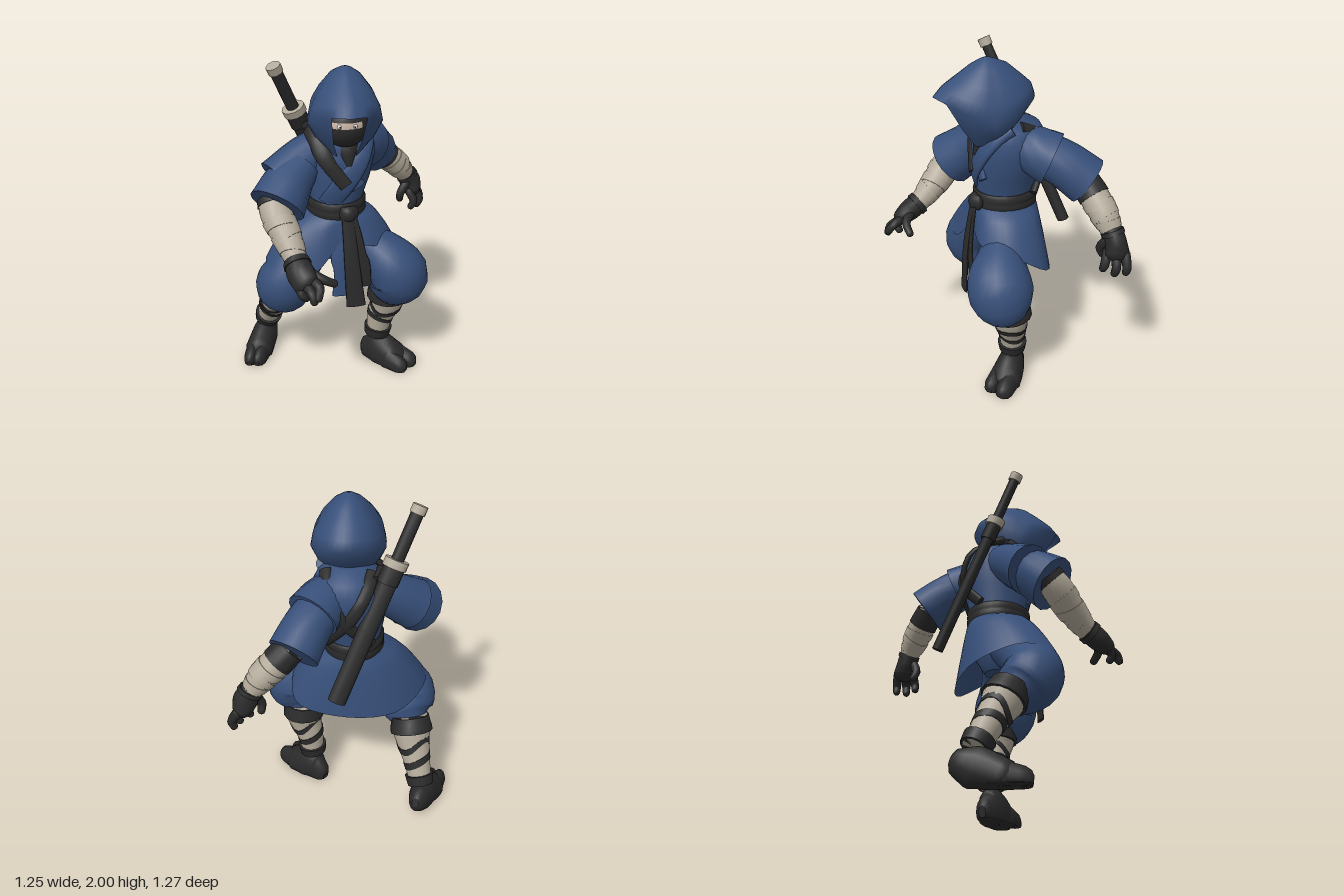
import * as THREE from 'three';

const paint = (name, color, side = THREE.FrontSide) => {
  const m = new THREE.MeshStandardMaterial({ color, side });
  m.name = name;
  return m;
};
const V = (x, y, z) => new THREE.Vector3(x, y, z);

// Skin a list of closed rings; skip(i, j) leaves a cell open
function loft(rings, { skip = () => false, capped = true } = {}) {
  const n = rings[0].length, pos = [], idx = [];
  rings.forEach(r => r.forEach(p => pos.push(p.x, p.y, p.z)));
  for (let i = 0; i < rings.length - 1; i++) {
    for (let j = 0; j < n; j++) {
      if (skip(i, j)) continue;
      const a = i * n + j, b = i * n + (j + 1) % n;
      idx.push(a, b, b + n, a, b + n, a + n);
    }
  }
  if (capped) [rings[0], rings[rings.length - 1]].forEach((r, end) => {
    const base = pos.length / 3, c = V(0, 0, 0);
    r.forEach(p => { pos.push(p.x, p.y, p.z); c.addScaledVector(p, 1 / n); });
    pos.push(c.x, c.y, c.z);
    for (let j = 0; j < n; j++) {
      const k = (j + 1) % n;
      idx.push(base + n, base + (end ? j : k), base + (end ? k : j));
    }
  });
  const g = new THREE.BufferGeometry();
  g.setAttribute('position', new THREE.Float32BufferAttribute(pos, 3));
  g.setIndex(idx);
  g.computeVertexNormals();
  return g;
}

// Tapered limb along points [x, y, z, widthRadius, depthRadius]
function limb(path, o = {}) {
  const { t0 = 0, t1 = 1, tilt = 0, waves = 1, grow = 1, round = false, steps = 10, sides = 16, up = V(0, 0, 1), floor = false } = o;
  const centre = new THREE.CatmullRomCurve3(path.map(p => V(p[0], p[1], p[2])));
  const size = new THREE.CatmullRomCurve3(path.map(p => V(p[3], p[4] ?? p[3], 0)));
  const ring = (t, scale = 1, push = 0) => {
    const T = centre.getTangent(t);
    const u = up.clone().addScaledVector(T, -up.dot(T)).normalize(), v = T.clone().cross(u);
    return Array.from({ length: sides }, (_, j) => {
      const a = j / sides * Math.PI * 2;
      const s = THREE.MathUtils.clamp(t + tilt * Math.sin(a * waves + 0.6), 0, 1), r = size.getPoint(s);
      const p = centre.getPoint(s).addScaledVector(u, Math.cos(a) * r.y * grow * scale)
        .addScaledVector(v, Math.sin(a) * r.x * grow * scale).addScaledVector(T, push * r.y);
      if (floor) p.y = Math.max(p.y, 0);
      return p;
    });
  };
  const rings = [];
  if (round) rings.push(ring(t0, 0.35, -0.65), ring(t0, 0.75, -0.45));
  for (let i = 0; i <= steps; i++) rings.push(ring(t0 + (t1 - t0) * i / steps));
  if (round) rings.push(ring(t1, 0.75, 0.45), ring(t1, 0.35, 0.65));
  return loft(rings);
}

export function createModel() {
  const cloth = paint('blue cloth', 0x374f79, THREE.DoubleSide);
  const dark = paint('black leather', 0x2a2a2a);
  const wrap = paint('linen wrap', 0xb3aa9a);
  const skin = paint('skin', 0xc8b0a2);
  const white = paint('eye white', 0xe2ddd8);
  const root = new THREE.Group();
  const add = (name, geo, mat, parent = root) => {
    const m = new THREE.Mesh(geo, mat);
    m.name = name;
    parent.add(m);
    return m;
  };
  const group = name => {
    const g = new THREE.Group();
    g.name = name;
    root.add(g);
    return g;
  };

  // Torso, pelvis and belt from [y, centreX, centreZ, radiusX, radiusZ]
  const around = (n, f) => Array.from({ length: n }, (_, j) => f(j / n * Math.PI * 2));
  const stack = rows => loft(rows.map(([y, cx, cz, rx, rz]) =>
    around(28, a => V(cx + rx * Math.sin(a), y, cz + rz * Math.cos(a)))));
  add('torso', stack([
    [0.8, -0.02, -0.05, 0.08, 0.1], [0.9, -0.02, -0.06, 0.14, 0.15], [1.1, -0.02, -0.07, 0.155, 0.17],
    [1.2, -0.02, -0.07, 0.16, 0.175], [1.32, -0.01, -0.075, 0.19, 0.2], [1.45, 0, -0.09, 0.21, 0.21],
    [1.54, 0, -0.09, 0.205, 0.205], [1.6, 0.01, -0.08, 0.165, 0.18], [1.64, 0.02, -0.04, 0.1, 0.1],
  ]), cloth);
  add('belt', stack([
    [1.095, -0.02, -0.07, 0.165, 0.178], [1.108, -0.02, -0.07, 0.177, 0.19], [1.14, -0.02, -0.07, 0.177, 0.19],
    [1.148, -0.02, -0.07, 0.171, 0.184], [1.156, -0.02, -0.07, 0.177, 0.19],
    [1.185, -0.02, -0.07, 0.177, 0.19], [1.2, -0.02, -0.07, 0.165, 0.178],
  ]), dark);
  add('beltKnot', limb([[0.0, 1.145, 0.12, 0.045, 0.025], [0.035, 1.145, 0.13, 0.05, 0.035],
    [0.075, 1.145, 0.11, 0.045, 0.025]], { round: true }), dark);
  add('longBeltTail', limb([[0.03, 1.12, 0.14, 0.035, 0.012], [0.05, 0.85, 0.19, 0.045, 0.012],
    [0.075, 0.57, 0.21, 0.058, 0.012]]), dark);
  add('shortBeltTail', limb([[0.05, 1.12, 0.135, 0.035, 0.01], [0.095, 0.9, 0.17, 0.042, 0.01],
    [0.13, 0.69, 0.18, 0.042, 0.01]]), dark);
  add('frontCloth', limb([[-0.03, 1.08, 0.1, 0.06, 0.01], [-0.02, 0.85, 0.16, 0.05, 0.01],
    [-0.015, 0.63, 0.18, 0.05, 0.01]]), cloth);

  // Flared robe skirt with an uneven hem
  const hem = new THREE.CatmullRomCurve3([
    V(0, 0.95, 0.14), V(0.2, 0.93, 0.13), V(0.33, 0.9, -0.03), V(0.31, 0.77, -0.24), V(0, 0.73, -0.31),
    V(-0.3, 0.75, -0.25), V(-0.45, 0.81, -0.03), V(-0.41, 0.8, 0.17), V(-0.18, 0.8, 0.2),
  ], true);
  const skirt = [];
  for (let i = 0; i <= 8; i++) {
    const s = 1 - i / 8, out = Math.pow(s, 0.6);
    skirt.push(around(40, a => {
      const p = hem.getPoint(a / (Math.PI * 2));
      return V(THREE.MathUtils.lerp(-0.02 + 0.165 * Math.sin(a), p.x, out), 1.12 + (p.y - 1.12) * s,
        THREE.MathUtils.lerp(-0.07 + 0.178 * Math.cos(a), p.z, out));
    }));
  }
  add('robeSkirt', loft(skirt, { capped: false }), cloth);

  // Crossed lapels, collar and straps
  add('rightLapel', limb([[-0.12, 1.6, 0.03, 0.04, 0.025], [-0.03, 1.47, 0.1, 0.05, 0.025],
    [0.09, 1.3, 0.09, 0.05, 0.02]]), cloth);
  add('leftLapel', limb([[0.15, 1.62, -0.06, 0.04, 0.04], [0.14, 1.56, 0.03, 0.05, 0.03], [0.09, 1.45, 0.1, 0.06, 0.025],
    [0.0, 1.32, 0.12, 0.065, 0.018], [-0.08, 1.2, 0.085, 0.06, 0.014]]), cloth);
  add('collar', limb([[0.03, 1.58, 0.05, 0.08, 0.055], [0.03, 1.52, 0.09, 0.055, 0.04],
    [0.04, 1.44, 0.115, 0.015, 0.02]]), dark);
  add('chestStrap', limb([[-0.17, 1.6, -0.17, 0.04, 0.02], [-0.18, 1.62, -0.06, 0.04, 0.02],
    [-0.14, 1.57, 0.06, 0.042, 0.018], [-0.08, 1.46, 0.115, 0.042, 0.018], [0.02, 1.33, 0.142, 0.038, 0.012]]), dark);
  [[1, 'leftBackStrap'], [-1, 'rightBackStrap']].forEach(([s, name]) => add(name, limb([
    [s * 0.13, 1.62, -0.12, 0.036, 0.02], [s * 0.1, 1.55, -0.26, 0.036, 0.02], [s * 0.03, 1.42, -0.295, 0.036, 0.02],
    [-s * 0.05, 1.31, -0.265, 0.036, 0.02], [-s * 0.13, 1.2, -0.2, 0.036, 0.02]]), dark));

  // Hood: pointed rings, with the front left open below the brim
  const hoodPoint = ([y, cz, rx, zf, zb, yf, yb], a) => {
    const c = Math.cos(a), near = Math.min(a, Math.PI * 2 - a);
    const front = 0.6 * c + 0.4 * (1 - near / (Math.PI / 2));
    return V(0.02 + rx * Math.sin(a), y + (c > 0 ? yf : -yb) * c, cz + (c > 0 ? zf * front : zb * c));
  };
  const hoodRings = [[1.55, 0.02, 0.11, 0.13, 0.12, -0.05, 0.06], [1.6, 0.03, 0.17, 0.21, 0.18, 0.02, 0.08],
    [1.68, 0.05, 0.21, 0.3, 0.27, 0.12, 0.1], [1.77, 0.05, 0.193, 0.255, 0.25, 0.08, 0.07],
    [1.86, 0.05, 0.152, 0.18, 0.195, 0.04, 0.03], [1.945, 0.05, 0.09, 0.1, 0.12, 0.01, 0.01],
    [1.985, 0.05, 0.04, 0.045, 0.05, 0, 0], [2, 0.05, 0.005, 0.005, 0.005, 0, 0]];
  add('hood', loft(hoodRings.map(r => around(40, a => hoodPoint(r, a))),
    { capped: false, skip: (i, j) => i < 2 && (j < 3 || j > 36) }), cloth);

  // Masked face
  const face = group('face');
  face.position.set(0.02, 1.68, 0.06);
  add('mask', new THREE.SphereGeometry(0.135, 24, 16), dark, face);
  add('eyeStrip', new THREE.SphereGeometry(0.138, 20, 6, Math.PI / 2 - 0.66, 1.32, 1.27, 0.24), skin, face);
  [-1, 1].forEach(s => {
    add('eye', new THREE.SphereGeometry(0.013, 10, 8), white, face).position.set(s * 0.043, 0.021, 0.126);
    add('pupil', new THREE.SphereGeometry(0.005, 8, 6), dark, face).position.set(s * 0.041, 0.021, 0.137);
  });

  // Sleeves
  add('leftShoulderSleeve', limb([[0.07, 1.49, -0.13, 0.12], [0.13, 1.47, -0.2, 0.14], [0.18, 1.43, -0.29, 0.155]]), cloth);
  add('leftSleeve', limb([[0.12, 1.48, -0.2, 0.12], [0.2, 1.4, -0.35, 0.135], [0.26, 1.305, -0.475, 0.145]]), cloth);
  add('rightShoulderSleeve', limb([[-0.1, 1.5, -0.08, 0.11], [-0.21, 1.44, -0.04, 0.125], [-0.35, 1.33, 0.04, 0.15]]), cloth);
  add('rightSleeve', limb([[-0.22, 1.42, 0, 0.11], [-0.31, 1.33, 0.08, 0.145], [-0.375, 1.24, 0.17, 0.165]]), cloth);

  // Forearms with wrap edges, gloves and fingers
  const arms = {
    left: {
      arm: [[0.28, 1.32, -0.45, 0.08], [0.35, 1.25, -0.485, 0.085], [0.43, 1.17, -0.52, 0.08], [0.495, 1.08, -0.55, 0.055]],
      band: 0.34,
      palm: [[0.49, 1.1, -0.545, 0.06], [0.52, 1.04, -0.56, 0.07, 0.06], [0.54, 0.98, -0.565, 0.06, 0.07]],
      fingers: [[[0.49, 1.04, -0.52], [0.45, 0.97, -0.5], [0.45, 0.92, -0.52]],
        [[0.51, 0.98, -0.52], [0.54, 0.91, -0.495], [0.52, 0.87, -0.495]],
        [[0.55, 0.97, -0.555], [0.59, 0.91, -0.545], [0.57, 0.86, -0.545]],
        [[0.56, 0.98, -0.605], [0.6, 0.91, -0.605], [0.59, 0.87, -0.605]]],
    },
    right: {
      arm: [[-0.4, 1.27, 0.13, 0.085], [-0.38, 1.2, 0.2, 0.092], [-0.33, 1.11, 0.29, 0.085], [-0.28, 1.0, 0.41, 0.06]],
      band: 0.14,
      palm: [[-0.285, 1.01, 0.4, 0.065], [-0.265, 0.97, 0.47, 0.08, 0.065], [-0.24, 0.94, 0.53, 0.075, 0.05]],
      fingers: [[[-0.23, 0.98, 0.46], [-0.15, 0.95, 0.51], [-0.08, 0.91, 0.5]],
        [[-0.2, 0.95, 0.53], [-0.17, 0.94, 0.58], [-0.18, 0.89, 0.62]],
        [[-0.24, 0.93, 0.53], [-0.21, 0.91, 0.6], [-0.2, 0.87, 0.62]],
        [[-0.28, 0.93, 0.51], [-0.26, 0.88, 0.55], [-0.24, 0.85, 0.54]]],
    },
  };
  for (const [side, { arm, band, palm, fingers }] of Object.entries(arms)) {
    const g = group(side + 'Forearm');
    add('armWrap', limb(arm), wrap, g);
    add('elbowBand', limb(arm, { t0: 0, t1: band, grow: 1.06, steps: 4 }), dark, g);
    [0.52, 0.68, 0.84].forEach((t, i) => add('wrapLayer', limb(arm,
      { t0: t - 0.08, t1: t + 0.05, tilt: i % 2 ? 0.04 : -0.04, grow: 1.05, steps: 3 }), wrap, g));
    add('glove', limb(palm, { round: true }), dark, g);
    add('gloveCuff', limb(palm, { t0: 0, t1: 0.2, grow: 1.12, steps: 2 }), dark, g);
    fingers.forEach(f => add('finger', limb(f.map((p, i) => [...p, 0.03 - i * 0.004]),
      { round: true, sides: 10, steps: 6 }), dark, g));
  }

  // Legs: baggy trousers, wrapped shins and split-toed boots
  const legs = {
    left: {
      trouser: [[0.08, 0.94, -0.04, 0.11], [0.2, 0.86, 0.01, 0.135], [0.3, 0.77, 0.05, 0.17, 0.185],
        [0.348, 0.69, 0.055, 0.19, 0.192], [0.32, 0.59, 0.02, 0.16, 0.15], [0.3, 0.54, -0.01, 0.1]],
      shin: [[0.3, 0.58, -0.01, 0.105], [0.3, 0.46, -0.02, 0.105], [0.265, 0.34, -0.04, 0.085], [0.245, 0.19, -0.05, 0.066]],
      foot: [[0.215, 0.04, -0.075, 0.065, 0.11], [0.26, 0.05, -0.04, 0.085, 0.15], [0.36, 0.03, 0.03, 0.1, 0.1]],
      toes: [[[0.3, 0.03, 0.05, 0.05, 0.09], [0.375, 0.02, 0.115, 0.05, 0.07]],
        [[0.37, 0.03, 0.0, 0.06, 0.09], [0.445, 0.02, 0.06, 0.055, 0.07]]],
    },
    right: {
      trouser: [[-0.1, 0.94, -0.05, 0.11], [-0.2, 0.86, 0.01, 0.13], [-0.3, 0.75, 0.06, 0.155],
        [-0.345, 0.66, 0.05, 0.175], [-0.35, 0.58, -0.02, 0.155], [-0.37, 0.53, -0.07, 0.1]],
      shin: [[-0.375, 0.58, -0.08, 0.105], [-0.395, 0.46, -0.14, 0.105], [-0.43, 0.34, -0.21, 0.085], [-0.465, 0.2, -0.285, 0.066]],
      foot: [[-0.455, 0.12, -0.35, 0.06, 0.085], [-0.48, 0.09, -0.27, 0.08, 0.115], [-0.53, 0.03, -0.14, 0.09, 0.1]],
      toes: [[[-0.49, 0.03, -0.15, 0.045, 0.09], [-0.53, 0.02, -0.05, 0.045, 0.07]],
        [[-0.56, 0.03, -0.16, 0.05, 0.09], [-0.585, 0.02, -0.06, 0.045, 0.07]]],
    },
  };
  const Y = V(0, 1, 0);
  for (const [side, { trouser, shin, foot, toes }] of Object.entries(legs)) {
    const g = group(side + 'Leg');
    add('trouserLeg', limb(trouser, { steps: 16, sides: 20 }), cloth, g);
    add('shinWrap', limb(shin), wrap, g);
    add('kneeBand', limb(shin, { t0: 0, t1: 0.24, grow: 1.1, steps: 3 }), dark, g);
    [[0.46, 0.07, 2], [0.68, -0.06, 1]].forEach(([t, tilt, waves]) => add('shinGap',
      limb(shin, { t0: t - 0.045, t1: t + 0.045, tilt, waves, grow: 1.03, steps: 3, sides: 24 }), dark, g));
    add('ankleCuff', limb(shin, { t0: 0.87, t1: 1, grow: 1.22, steps: 3 }), dark, g);
    add('boot', limb(foot, { up: Y, floor: true, round: true }), dark, g);
    toes.forEach(t => add('toe', limb(t, { up: Y, floor: true, round: true, steps: 4 }), dark, g));
  }

  // Sheathed sword slung across the back
  const sword = group('sword');
  const along = (t, rx, rz) => [-0.365 + 0.405 * t, 1.985 - 1.04 * t, -0.035 - 0.39 * t, rx, rz];
  const piece = (name, a, b, rx, rz, mat) => add(name, limb([along(a, rx, rz), along(b, rx, rz)],
    { steps: 2, sides: 12 }), mat, sword);
  piece('pommel', 0, 0.04, 0.043, 0.038, wrap);
  piece('handle', 0.03, 0.27, 0.036, 0.03, dark);
  piece('guard', 0.26, 0.3, 0.068, 0.055, wrap);
  piece('scabbardMouth', 0.3, 0.38, 0.06, 0.045, dark);
  piece('scabbard', 0.37, 1, 0.053, 0.034, dark);
  return root;
}
